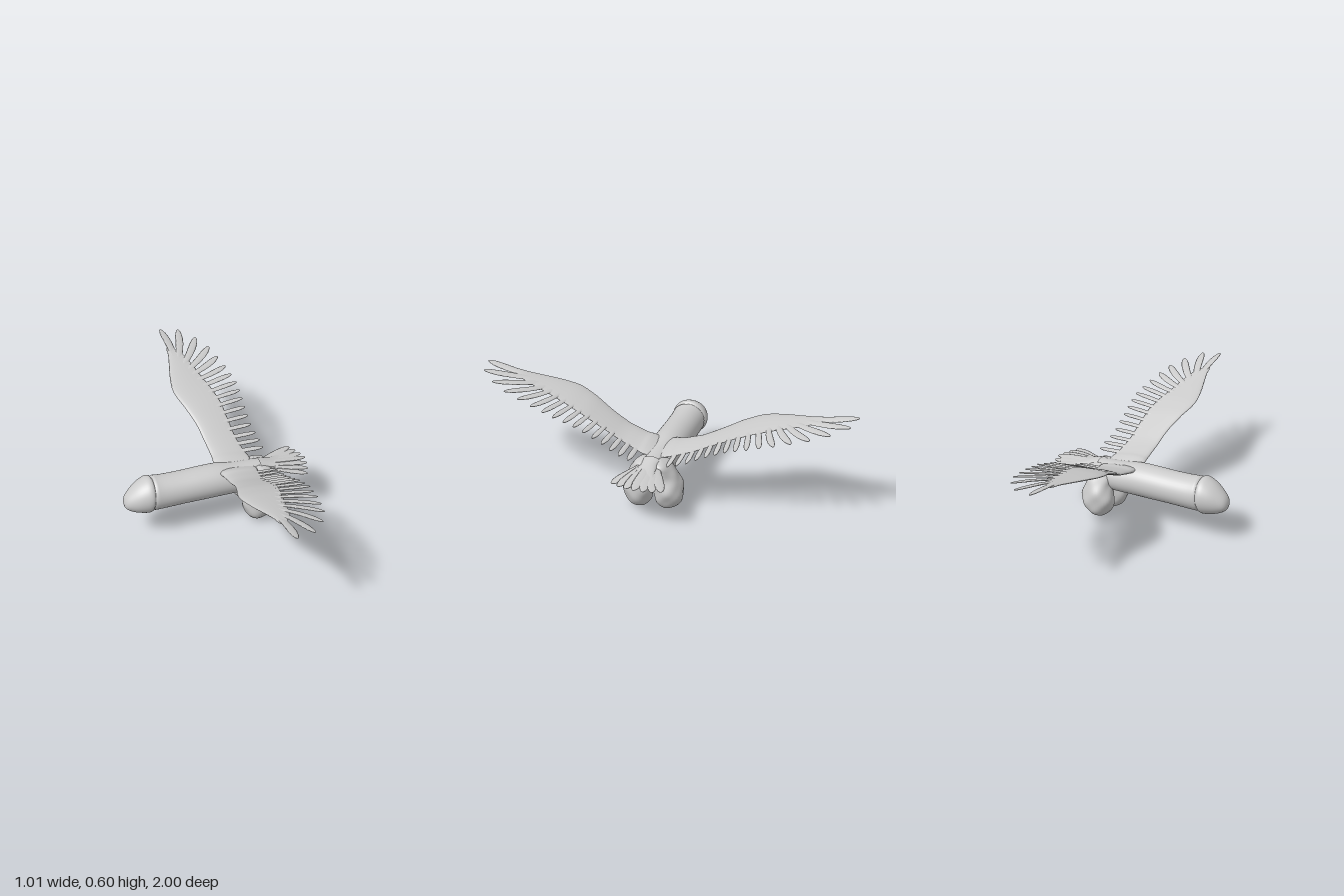
import * as THREE from 'three';

const material = new THREE.MeshStandardMaterial({ color: 0xcccccc, side: THREE.DoubleSide });

// Catmull-Rom through rows of numbers, with k steps between rows
function refine(rows, k) {
  const out = [];
  const at = i => rows[Math.min(rows.length - 1, Math.max(0, i))];
  for (let i = 0; i < rows.length - 1; i++) {
    for (let s = 0; s < k; s++) {
      const t = s / k;
      out.push(rows[i].map((b, c) => {
        const a = at(i - 1)[c], d = at(i + 1)[c], e = at(i + 2)[c];
        return 0.5 * (2 * b + (d - a) * t + (2 * a - 5 * b + 4 * d - e) * t * t + (3 * b - a - 3 * d + e) * t ** 3);
      }));
    }
  }
  out.push(rows[rows.length - 1]);
  return out;
}

// Closed skin over equal rings of points, wound so that it faces outward
function loft(name, rings) {
  const n = rings[0].length, pos = rings.flat(2), index = [];
  for (let i = 0; i < rings.length - 1; i++) {
    for (let j = 0; j < n; j++) {
      const a = i * n + j, b = i * n + (j + 1) % n;
      index.push(a, b, a + n, b, b + n, a + n);
    }
  }
  const p = i => new THREE.Vector3().fromArray(pos, i * 3);
  let volume = 0;
  for (let i = 0; i < index.length; i += 3) volume += p(index[i]).dot(p(index[i + 1]).cross(p(index[i + 2])));
  if (volume < 0) index.reverse();
  const g = new THREE.BufferGeometry();
  g.setAttribute('position', new THREE.Float32BufferAttribute(pos, 3));
  g.setIndex(index);
  g.computeVertexNormals();
  const mesh = new THREE.Mesh(g, material);
  mesh.name = name;
  return mesh;
}

const ring = (n, f) => Array.from({ length: n }, (_, j) => f(j / n * Math.PI * 2));

// Height of the wing surface at a point
const wingLine = [[0, 0.298], [0.1, 0.318], [0.2, 0.352], [0.3, 0.403], [0.4, 0.452], [0.5, 0.487],
  [0.6, 0.513], [0.8, 0.56], [1.02, 0.602]];
function wingY(x, z) {
  const i = Math.max(1, wingLine.findIndex(r => r[0] >= z));
  const [z0, y0] = wingLine[i - 1], [z1, y1] = wingLine[i];
  return y0 + (y1 - y0) * (z - z0) / (z1 - z0) - 0.05 * x;
}

// Thin blade from root to tip in plan, width profile rounded at the tip
const blade = [[0, 0.7], [0.2, 0.8], [0.4, 0.93], [0.6, 1], [0.75, 0.97], [0.87, 0.8], [0.95, 0.52], [0.985, 0.25], [1, 0]];
function feather(name, root, tip, width, heightAt, side, tilt, bow = 0, thick = 0.006) {
  const dx = tip[0] - root[0], dz = tip[1] - root[1], len = Math.hypot(dx, dz);
  const nx = -dz / len, nz = dx / len;
  return loft(name, blade.map(([t, w]) => ring(10, a => {
    const s = Math.cos(a) * w * width / 2, off = s + bow * Math.sin(Math.PI * t);
    const cx = root[0] + dx * t, cz = root[1] + dz * t;
    const y = heightAt(cx, cz) + s * tilt + Math.sin(a) * thick * (w > 0 ? 1 - 0.5 * t : 0);
    return [cx + nx * off, y, (cz + nz * off) * side];
  })));
}

// Wing: [z, leading x, trailing x, half thickness]
const wingSections = [[0.0, 0.0, 0.2, 0.01], [0.06, 0.0, 0.2, 0.026], [0.1, 0.004, 0.19, 0.022], [0.2, 0, 0.175, 0.017],
  [0.3, -0.012, 0.17, 0.016], [0.4, -0.042, 0.165, 0.016], [0.5, -0.068, 0.145, 0.015], [0.6, -0.055, 0.12, 0.013],
  [0.7, -0.028, 0.1, 0.01], [0.78, -0.006, 0.075, 0.008], [0.83, 0.0, 0.04, 0.005], [0.85, 0.015, 0.02, 0.001]];

// Flight feathers: [root x, root z, tip x, tip z, width]
const flightFeathers = [[0.02, 0.72, 0.02, 1.0, 0.046], [0.03, 0.71, 0.118, 0.978, 0.044], [0.045, 0.68, 0.195, 0.895, 0.042],
  [0.055, 0.64, 0.243, 0.805, 0.04], [0.06, 0.6, 0.265, 0.72, 0.038], [0.07, 0.56, 0.283, 0.64, 0.035],
  [0.08, 0.51, 0.292, 0.572, 0.033], [0.09, 0.465, 0.3, 0.51, 0.031], [0.1, 0.42, 0.297, 0.453, 0.03],
  [0.1, 0.375, 0.293, 0.4, 0.029], [0.11, 0.33, 0.29, 0.35, 0.029], [0.11, 0.285, 0.288, 0.3, 0.029],
  [0.11, 0.24, 0.286, 0.25, 0.029], [0.11, 0.195, 0.293, 0.202, 0.029], [0.11, 0.15, 0.3, 0.153, 0.03],
  [0.11, 0.105, 0.3, 0.105, 0.03]];

function createWing(side) {
  const wing = new THREE.Group();
  wing.name = side > 0 ? 'leftWing' : 'rightWing';
  wing.add(loft('wingPanel', refine(wingSections, 3).map(([z, lead, trail, t]) => ring(20, a => {
    const u = (1 - Math.cos(a)) / 2, x = lead + (trail - lead) * u;
    return [x, wingY(x, z) + Math.sin(a) * t * (1 - 0.6 * u), z * side];
  }))));
  flightFeathers.forEach(([rx, rz, tx, tz, w], i) => {
    wing.add(feather('flightFeather', [rx, rz], [tx, tz], w, wingY, side, 0.22, i < 6 ? -0.008 : 0));
  });
  return wing;
}

// Shaft and rounded front end: [x, bottom y, top y, half width]
const bodyStations = [[-0.51, 0.213, 0.213, 0], [-0.506, 0.192, 0.236, 0.025], [-0.492, 0.176, 0.262, 0.046],
  [-0.46, 0.16, 0.296, 0.068], [-0.43, 0.152, 0.32, 0.083], [-0.4, 0.146, 0.336, 0.093], [-0.38, 0.144, 0.34, 0.096],
  [-0.368, 0.148, 0.336, 0.093], [-0.361, 0.155, 0.328, 0.086], [-0.347, 0.151, 0.334, 0.09], [-0.3, 0.151, 0.328, 0.09],
  [-0.2, 0.153, 0.325, 0.09], [-0.1, 0.152, 0.327, 0.091], [0, 0.152, 0.326, 0.091], [0.1, 0.151, 0.313, 0.088],
  [0.2, 0.153, 0.305, 0.083], [0.255, 0.17, 0.299, 0.068], [0.282, 0.195, 0.288, 0.045], [0.295, 0.24, 0.265, 0]];

// Hanging lobe: [y, min x, max x, centre z, half width]
const lobeStations = [[0.003, 0.2, 0.2, 0.075, 0], [0.01, 0.165, 0.235, 0.076, 0.034], [0.04, 0.135, 0.265, 0.08, 0.062],
  [0.08, 0.119, 0.284, 0.083, 0.074], [0.12, 0.116, 0.291, 0.083, 0.077], [0.16, 0.125, 0.285, 0.08, 0.073],
  [0.2, 0.135, 0.277, 0.07, 0.064], [0.24, 0.14, 0.28, 0.058, 0.055], [0.28, 0.16, 0.28, 0.045, 0.04], [0.3, 0.22, 0.22, 0.04, 0]];

function createLobe(side) {
  const lift = side > 0 ? 0 : 0.015, phase = side > 0 ? 0 : 1.9;
  return loft(side > 0 ? 'leftLobe' : 'rightLobe', refine(lobeStations, 4).map(([y, x0, x1, zc, rz]) => ring(36, a => {
    // Gentle lumps
    const b = 1 + 0.035 * Math.sin(3 * a + 38 * y + phase) + 0.025 * Math.sin(5 * a - 60 * y + phase);
    return [(x0 + x1) / 2 + Math.cos(a) * (x1 - x0) / 2 * b, y + lift * (1 - y / 0.3), side * (zc + Math.sin(a) * rz * b)];
  })));
}

function createTail() {
  const tail = new THREE.Group();
  tail.name = 'tail';
  const tailY = x => 0.284 - 0.1 * (x - 0.27);
  // Tapered root joining the fan to the body
  const root = [[0.23, 0.05, 0.03], [0.27, 0.043, 0.022], [0.31, 0.046, 0.012], [0.36, 0.056, 0.006], [0.41, 0.06, 0.001]];
  tail.add(loft('tailRoot', root.map(([x, w, t]) => ring(20, a => [x, tailY(x) - 0.006 + Math.sin(a) * t, Math.cos(a) * w]))));
  for (let i = -3; i <= 3; i++) {
    const a = i * 0.155, r = 0.3 - 0.003 * Math.abs(i);
    const drop = 0.004 * Math.abs(i);
    tail.add(feather('tailFeather', [0.26, i * 0.011], [0.2 + r * Math.cos(a), r * Math.sin(a)],
      0.052, x => tailY(x) - drop, 1, 0.12, 0, 0.005));
  }
  return tail;
}

export function createModel() {
  const model = new THREE.Group();
  model.name = 'wingedFigure';
  const figure = new THREE.Group();
  figure.name = 'figure';
  figure.rotation.y = -0.037;
  figure.add(loft('body', refine(bodyStations, 3).map(([x, y0, y1, w]) => ring(40, a => {
    // The ridge leans back toward the top
    const lean = x < -0.34 ? 0.008 * Math.sin(a) * Math.min(1, (x + 0.51) / 0.1) : 0;
    return [x + lean, (y0 + y1) / 2 + Math.sin(a) * (y1 - y0) / 2, Math.cos(a) * w];
  }))));
  for (const side of [1, -1]) figure.add(createLobe(side), createWing(side));
  figure.add(createTail());
  model.add(figure);
  return model;
}
